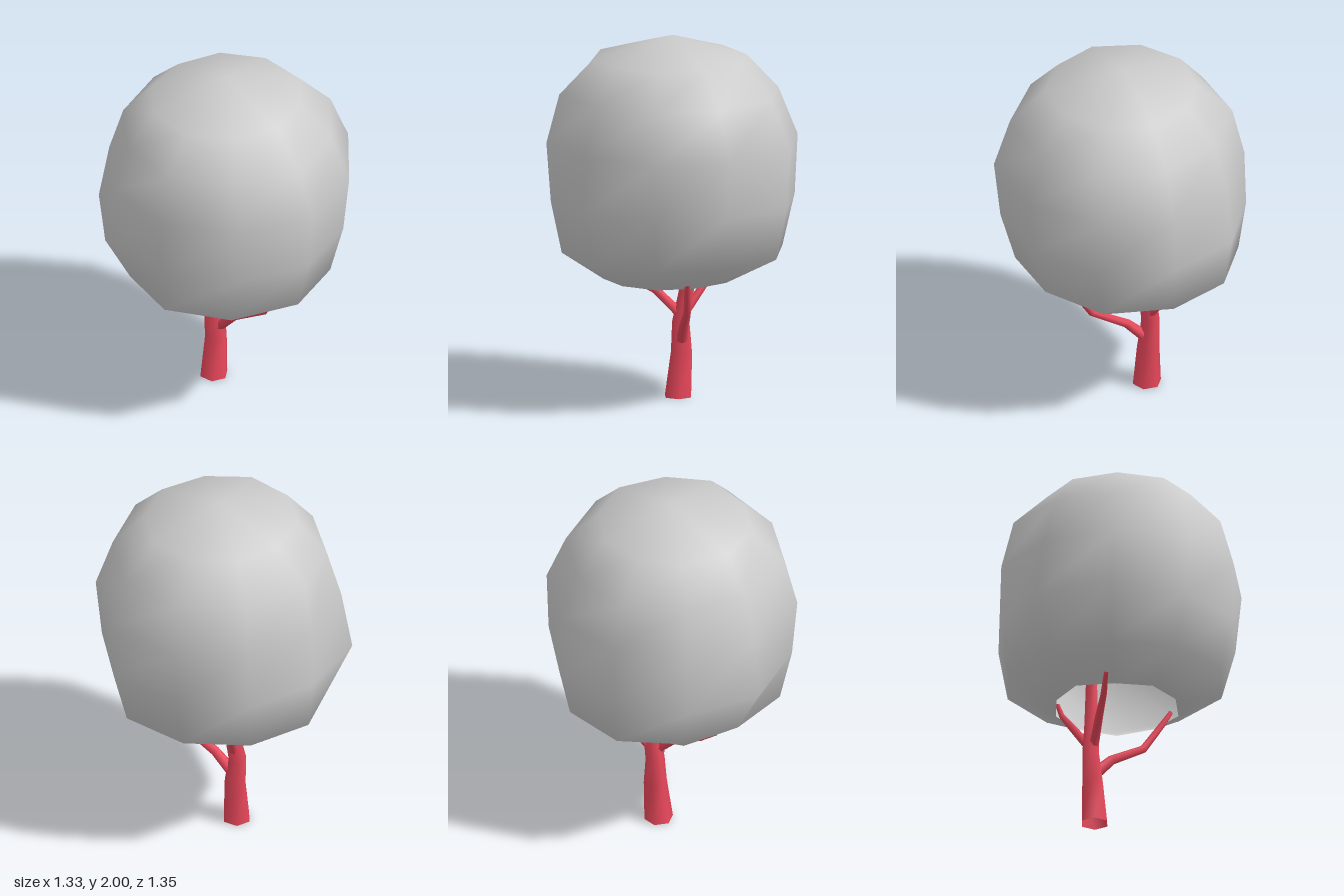
import * as THREE from 'three';

const V = (x, y, z) => new THREE.Vector3(x, y, z);

// Skin between rings of points (bottom to top), closed by one tip point
function loft(rings, tip) {
  const n = rings[0].length, index = [];
  const points = [...rings.flat(), tip];
  for (let i = 0; i < rings.length; i++) {
    for (let j = 0; j < n; j++) {
      const a = i * n + j, b = i * n + (j + 1) % n;
      if (i === rings.length - 1) index.push(a, points.length - 1, b);
      else index.push(a, a + n, b, b, a + n, b + n);
    }
  }
  const geo = new THREE.BufferGeometry().setFromPoints(points);
  geo.setIndex(index);
  geo.computeVertexNormals();
  return geo;
}

// Tapered six-sided limb along a list of [x, y, z, radius]
function limb(path, level = false) {
  const sides = 6;
  const c = path.map(p => V(p[0], p[1], p[2]));
  const rings = path.map((p, i) => {
    const t = level ? V(0, 1, 0)
      : c[Math.min(i + 1, c.length - 1)].clone().sub(c[Math.max(i - 1, 0)]).normalize();
    const u = V(1, 0, 0).addScaledVector(t, -t.x).normalize();
    const v = u.clone().cross(t);
    return Array.from({ length: sides }, (_, j) => {
      const a = j / sides * Math.PI * 2;
      return c[i].clone().addScaledVector(u, Math.cos(a) * p[3]).addScaledVector(v, Math.sin(a) * p[3]);
    });
  });
  return loft(rings, c[c.length - 1]);
}

export function createModel() {
  const tree = new THREE.Group();
  tree.name = 'tree';
  const bark = new THREE.MeshStandardMaterial({ color: 0xe8475a, side: THREE.DoubleSide });
  const leaf = new THREE.MeshStandardMaterial({ color: 0xcccccc, side: THREE.DoubleSide });
  const add = (name, geo, mat) => {
    const mesh = new THREE.Mesh(geo, mat);
    mesh.name = name;
    tree.add(mesh);
  };

  // Crown: irregular ten-sided ball, open underneath
  const angles = [12, 49.5, 85.7, 122, 157, 192, 227, 262, 298.5, 335.5];
  const layers = [ // height, centre x, centre z, radius at each angle
    [0.675, -0.035, 0.03, [0.34, 0.33, 0.34, 0.315, 0.36, 0.34, 0.345, 0.345, 0.35, 0.33]],
    [0.825, -0.035, 0, [0.595, 0.6, 0.595, 0.54, 0.56, 0.6, 0.6, 0.6, 0.61, 0.575]],
    [1.11, -0.015, 0, [0.655, 0.66, 0.655, 0.7, 0.71, 0.66, 0.67, 0.665, 0.67, 0.63]],
    [1.435, 0, 0, [0.675, 0.645, 0.68, 0.66, 0.665, 0.665, 0.66, 0.68, 0.69, 0.65]],
    [1.695, -0.005, 0.015, [0.59, 0.565, 0.595, 0.57, 0.575, 0.6, 0.58, 0.59, 0.6, 0.57]],
    [1.88, -0.005, 0.015, [0.405, 0.395, 0.415, 0.42, 0.42, 0.405, 0.415, 0.415, 0.42, 0.395]],
  ];
  const crownRings = layers.map(([y, cx, cz, radii]) => radii.map((r, j) => {
    const a = THREE.MathUtils.degToRad(angles[j]);
    return V(cx + Math.cos(a) * r, y, cz + Math.sin(a) * r);
  }));
  add('crown', loft(crownRings, V(-0.02, 2, 0)), leaf);

  // Trunk, hollow at the foot and reaching up inside the crown
  add('trunk', limb([
    [-0.138, 0, -0.037, 0.078],
    [-0.139, 0.24, -0.056, 0.063],
    [-0.152, 0.4, -0.053, 0.052],
    [-0.13, 0.6, -0.085, 0.043],
    [-0.128, 0.9, -0.088, 0.032],
  ], true), bark);

  // Branches
  add('leftBranch', limb([
    [-0.14, 0.29, -0.055, 0.034],
    [-0.02, 0.41, -0.06, 0.026],
    [0.175, 0.52, -0.065, 0.021],
    [0.29, 0.69, -0.06, 0.017],
    [0.34, 0.77, -0.06, 0.012],
  ]), bark);
  add('frontBranch', limb([
    [-0.14, 0.46, -0.04, 0.028],
    [-0.175, 0.575, 0.08, 0.023],
    [-0.225, 0.64, 0.22, 0.018],
    [-0.265, 0.72, 0.32, 0.013],
  ]), bark);
  add('backBranch', limb([
    [-0.14, 0.45, -0.07, 0.026],
    [-0.19, 0.62, -0.195, 0.02],
    [-0.23, 0.69, -0.23, 0.016],
    [-0.245, 0.76, -0.25, 0.012],
  ]), bark);

  return tree;
}
